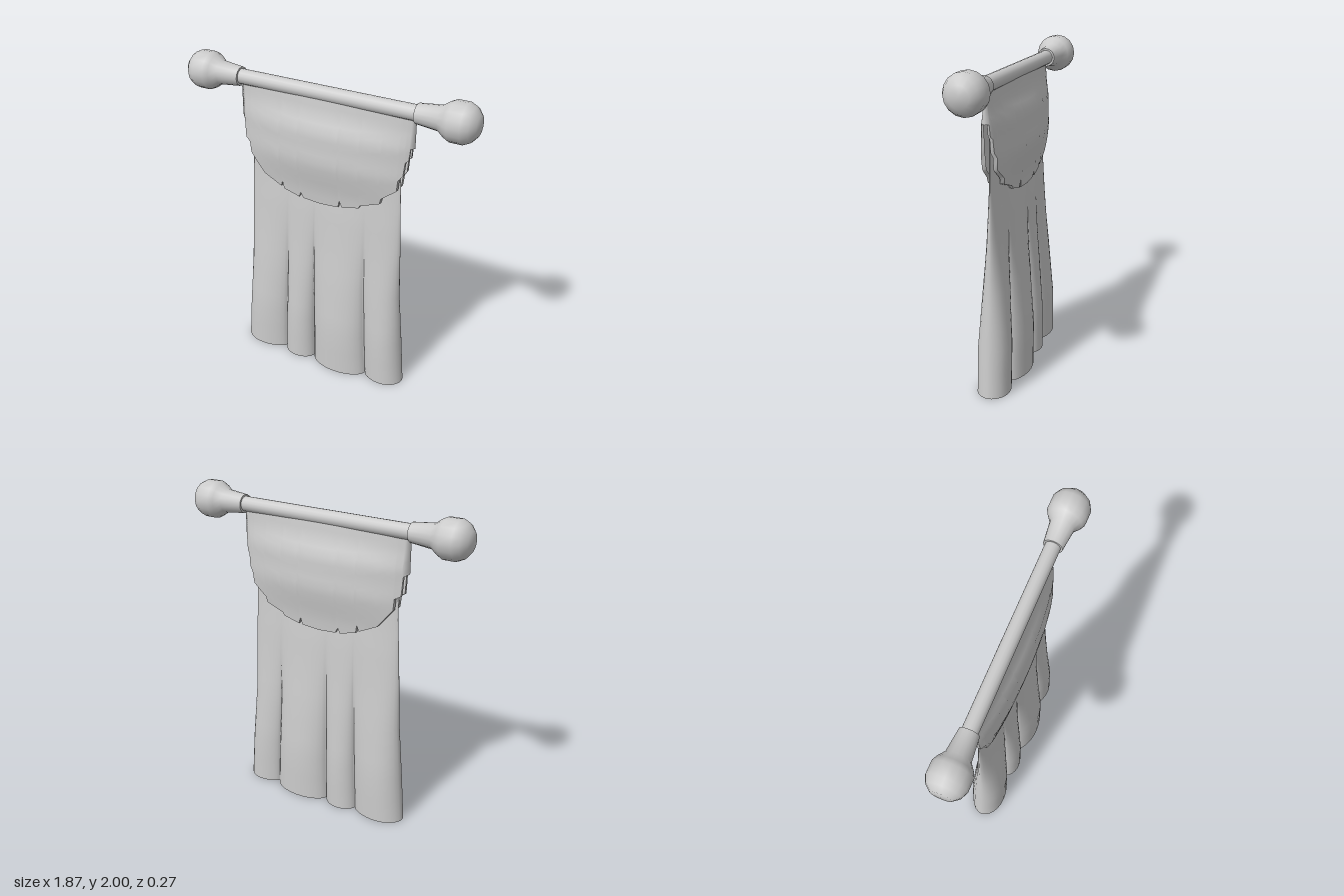
import * as THREE from 'three';
import { mergeVertices, toCreasedNormals } from 'three/addons/utils/BufferGeometryUtils.js';

const material = new THREE.MeshStandardMaterial({ color: 0xcccccc, side: THREE.DoubleSide });

// Piecewise linear lookup in a list of [key, value] pairs
function lerpTable(table, k) {
  if (k <= table[0][0]) return table[0][1];
  for (let i = 1; i < table.length; i++) {
    const [k0, v0] = table[i - 1], [k1, v1] = table[i];
    if (k <= k1) return v0 + (v1 - v0) * (k - k0) / (k1 - k0);
  }
  return table[table.length - 1][1];
}

// Smooth surface from rows x cols of points given by at(row, col)
function gridGeometry(rows, cols, at) {
  const pos = [], index = [];
  for (let r = 0; r < rows; r++) for (let c = 0; c < cols; c++) pos.push(...at(r, c));
  for (let r = 0; r < rows - 1; r++) {
    for (let c = 0; c < cols - 1; c++) {
      const a = r * cols + c, d = a + cols;
      index.push(a, a + 1, d, a + 1, d + 1, d);
    }
  }
  let g = new THREE.BufferGeometry();
  g.setAttribute('position', new THREE.Float32BufferAttribute(pos, 3));
  g.setIndex(index);
  g = mergeVertices(g, 1e-5);
  g.computeVertexNormals();
  return g;
}

// Column c of a ring that runs along the front and returns along the back
function ringColumn(c, n) {
  return c < n ? { i: c, side: 1 } : { i: 2 * n - 2 - c, side: -1 };
}

function addMesh(group, name, geometry) {
  const mesh = new THREE.Mesh(geometry, material);
  mesh.name = name;
  group.add(mesh);
  return mesh;
}

// ---- Hanging cloth: four folds, mirrored front to back ----
const SEAMS = [-0.585, -0.265, -0.05, 0.33, 0.575];
const FOLD_DEPTH = [0.108, 0.115, 0.135, 0.1];
const SEAM_DEPTH = 0.04;
const LEFT_EDGE = [[0, -0.595], [0.65, -0.545], [1, -0.532], [1.4, -0.51], [1.8, -0.5]];
const RIGHT_EDGE = [[0, 0.575], [0.65, 0.525], [1, 0.517], [1.4, 0.5], [1.8, 0.49]];
const FOLD_AMOUNT = [[0, 1], [0.3, 1], [0.65, 0.62], [0.85, 0.34], [1, 0.16], [1.25, 0]];
const FLAT_DEPTH = [[0, 0.05], [1, 0.05], [1.2, 0.042], [1.4, 0.022], [1.8, 0.015]];

function clothColumns() {
  const cols = [], steps = 12;
  for (let f = 0; f < 4; f++) {
    for (let i = f ? 1 : 0; i <= steps; i++) {
      const u = (1 - Math.cos(Math.PI * i / steps)) / 2;
      const x = THREE.MathUtils.lerp(SEAMS[f], SEAMS[f + 1], u);
      const start = f === 0 ? 0 : SEAM_DEPTH, end = f === 3 ? 0 : SEAM_DEPTH;
      const base = THREE.MathUtils.lerp(start, end, u);
      const bulge = Math.pow(Math.max(0, 4 * u * (1 - u)), 0.55);
      cols.push({ s: (x - SEAMS[0]) / (SEAMS[4] - SEAMS[0]), fold: base + (FOLD_DEPTH[f] - base) * bulge });
    }
  }
  return cols;
}

function buildCloth(group) {
  const cols = clothColumns(), n = cols.length;
  const ys = [0, 0.15, 0.3, 0.42, 0.54, 0.65, 0.75, 0.85, 0.92, 1, 1.08, 1.16, 1.25, 1.4, 1.6, 1.8];
  const point = (y, i, side) => {
    const { s, fold } = cols[i];
    const x = THREE.MathUtils.lerp(lerpTable(LEFT_EDGE, y), lerpTable(RIGHT_EDGE, y), s);
    const lens = Math.pow(Math.max(0, 4 * s * (1 - s)), 0.5);
    const z = THREE.MathUtils.lerp(lerpTable(FLAT_DEPTH, y) * lens, fold, lerpTable(FOLD_AMOUNT, y));
    return [x, y, side * z];
  };
  addMesh(group, 'hangingCloth', gridGeometry(ys.length, 2 * n - 1, (r, c) => {
    const { i, side } = ringColumn(c, n);
    return point(ys[r], i, side);
  }));
  // Closed underside of the folds
  addMesh(group, 'clothUnderside', gridGeometry(2, n, (r, c) => point(0, c, r ? 1 : -1)));
}

// ---- Valance: bulging half-round overlay with a torn lower edge ----
const TORN_EDGE = [
  [-0.575, 1.64], [-0.547, 1.625], [-0.54, 1.51], [-0.505, 1.49], [-0.498, 1.42], [-0.4, 1.3],
  [-0.28, 1.245], [-0.268, 1.28], [-0.258, 1.232], [-0.15, 1.205], [-0.137, 1.237], [-0.118, 1.203],
  [0, 1.195], [0.12, 1.203], [0.131, 1.25], [0.146, 1.207], [0.258, 1.232], [0.266, 1.25],
  [0.39, 1.293], [0.4, 1.33], [0.492, 1.4], [0.5, 1.47], [0.525, 1.505], [0.533, 1.585],
  [0.55, 1.6], [0.556, 1.67], [0.575, 1.67],
];
const VALANCE_DEPTH = [[1.2, 0.06], [1.28, 0.066], [1.38, 0.085], [1.47, 0.1], [1.57, 0.09],
  [1.66, 0.089], [1.77, 0.047], [1.86, 0.035]];

function buildValance(group) {
  const xs = [];
  TORN_EDGE.forEach(([x], k) => {
    if (k) {
      const x0 = TORN_EDGE[k - 1][0], parts = Math.ceil((x - x0) / 0.04);
      for (let p = 1; p < parts; p++) xs.push(x0 + (x - x0) * p / parts);
    }
    xs.push(x);
  });
  const n = xs.length, rows = 15;
  const point = (v, i, side, tuck = 1) => {
    const x = xs[i];
    const y = THREE.MathUtils.lerp(lerpTable(TORN_EDGE, x), 1.86, v);
    const lens = Math.sqrt(Math.max(0, 1 - (x / 0.575) ** 2));
    return [x, y, side * tuck * lerpTable(VALANCE_DEPTH, y) * lens];
  };
  addMesh(group, 'valance', gridGeometry(rows, 2 * n - 1, (r, c) => {
    const { i, side } = ringColumn(c, n);
    return point(r / (rows - 1), i, side);
  }));
  // Turned-in hem under the torn edge
  addMesh(group, 'valanceHem', gridGeometry(2, 2 * n - 1, (r, c) => {
    const { i, side } = ringColumn(c, n);
    return point(0, i, side, r ? 1 : 0.45);
  }));
}

// ---- Rod with a ball finial at each end ----
function buildRod(group) {
  const rod = addMesh(group, 'rod', new THREE.CylinderGeometry(0.046, 0.046, 1.2, 16));
  rod.rotation.z = Math.PI / 2;
  rod.position.y = 1.884;

  const profile = [[0, 0.575], [0.058, 0.575], [0.073, 0.715], [0.102, 0.755], [0.117, 0.785],
    [0.117, 0.86], [0.098, 0.9], [0.06, 0.932], [0, 0.935]].map(([r, h]) => new THREE.Vector2(r, h));
  const geometry = toCreasedNormals(new THREE.LatheGeometry(profile, 16), 1);
  for (const side of [-1, 1]) {
    const finial = addMesh(group, side > 0 ? 'leftFinial' : 'rightFinial', geometry);
    finial.rotation.z = -side * Math.PI / 2;
    finial.position.y = 1.883;
  }
}

export function createModel() {
  const group = new THREE.Group();
  group.name = 'hangingBanner';
  buildRod(group);
  buildValance(group);
  buildCloth(group);
  return group;
}
